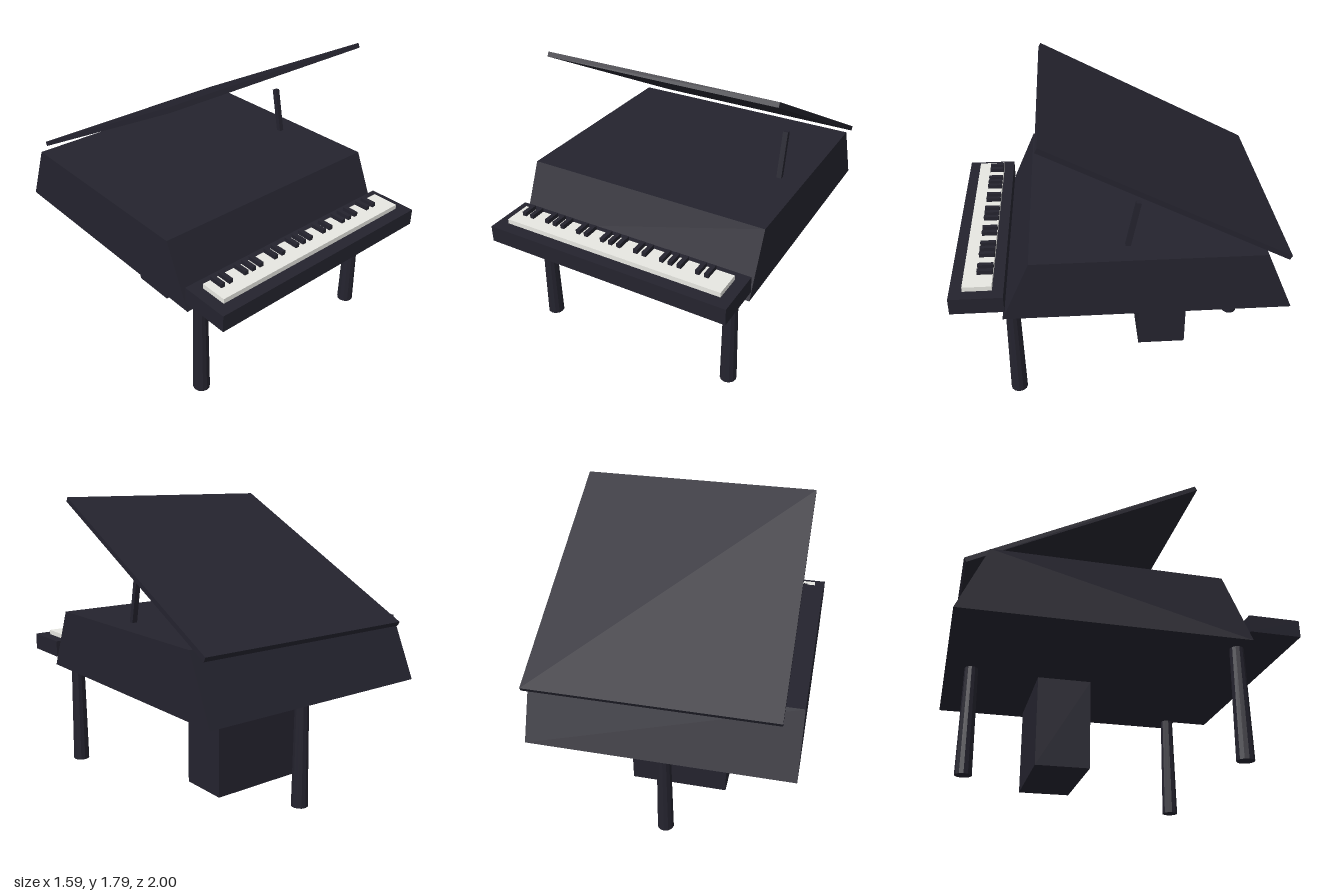
import * as THREE from 'three';

export function createModel() {
  const model = new THREE.Group();
  model.name = 'grandPiano';

  const material = (name, color, flatShading = false) => {
    const m = new THREE.MeshStandardMaterial({ color, flatShading });
    m.name = name;
    return m;
  };
  const lacquer = material('dark lacquer', 0x24232e, true);
  const ivory = material('ivory', 0xe8e8e2);

  const add = (name, geometry, mat, x, y, z, parent = model) => {
    const mesh = new THREE.Mesh(geometry, mat);
    mesh.name = name;
    mesh.position.set(x, y, z);
    parent.add(mesh);
    return mesh;
  };
  const box = (name, mat, w, h, d, x, y, z, parent) =>
    add(name, new THREE.BoxGeometry(w, h, d), mat, x, y, z, parent);

  // Case: trapezoid side profile swept across the width
  const width = 1.59;
  const profile = new THREE.Shape([
    [-0.70, 0.68], [1.0, 0.68], [0.83, 1.065], [-0.53, 1.065],
  ].map(([x, y]) => new THREE.Vector2(x, y)));
  const caseGeometry = new THREE.ExtrudeGeometry(profile, { depth: width, bevelEnabled: false });
  caseGeometry.translate(0, 0, -width / 2).rotateY(Math.PI / 2);
  add('case', caseGeometry, lacquer, 0, 0, 0);

  // Raised lid and its prop stick
  box('lid', lacquer, 1.485, 0.03, 1.59, 0.053, 1.41, -0.255).rotation.x = -0.485;
  box('propStick', lacquer, 0.032, 0.33, 0.03, 0.637, 1.19, -0.066).rotation.x = -0.2;

  // Keyboard
  const keyboard = new THREE.Group();
  keyboard.name = 'keyboard';
  model.add(keyboard);
  box('keyBed', lacquer, width, 0.105, 0.315, 0, 0.7875, 0.8425, keyboard);
  box('whiteKeys', ivory, 1.45, 0.03, 0.172, 0, 0.855, 0.838, keyboard);
  for (let i = 0; i < 23; i++) {
    if (i % 7 === 2 || i % 7 === 6) continue; // gaps between groups of two and three
    box('blackKey', lacquer, 0.026, 0.026, 0.095, -0.661 + i * 0.0572, 0.883, 0.798, keyboard);
  }

  // Three tapered legs
  const legGeometry = new THREE.CylinderGeometry(0.042, 0.052, 0.68, 12);
  for (const [name, x, z] of [
    ['frontLegLeft', 0.66, 0.65], ['frontLegRight', -0.66, 0.65], ['backLeg', 0, -0.84],
  ]) add(name, legGeometry, lacquer, x, 0.34, z);

  // Box standing under the case
  box('lowerBox', lacquer, 0.632, 0.53, 0.316, 0, 0.265, -0.308);

  return model;
}
